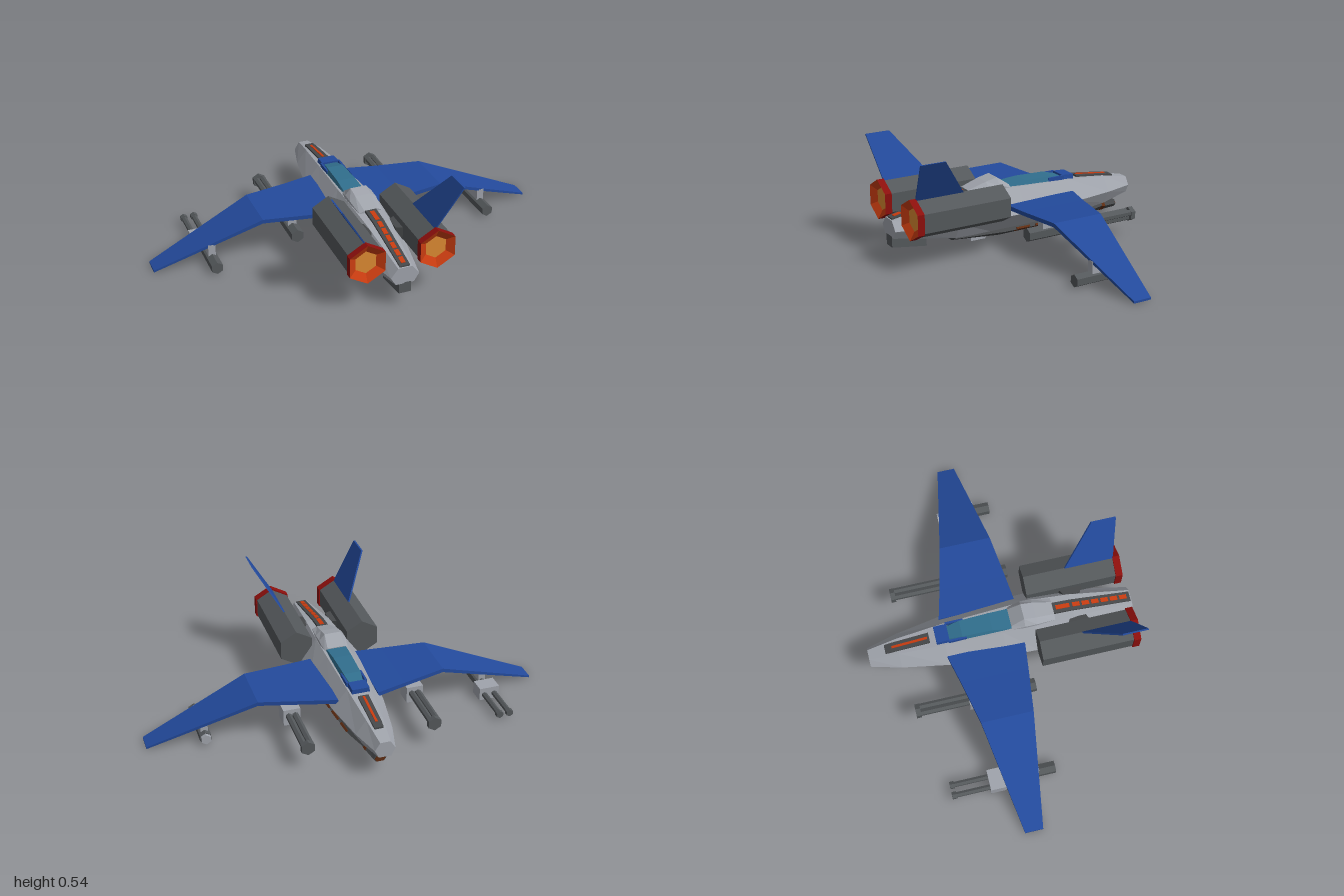
import * as THREE from 'three';

const mat = (name, color) => {
  const m = new THREE.MeshStandardMaterial({ color });
  m.name = name;
  m.flatShading = true;
  return m;
};

// Skin a list of equal-length rings with flat caps; winding is turned outward by signed volume.
function loft(rings) {
  const tris = [];
  const n = rings[0].length;
  for (let i = 0; i < rings.length - 1; i++) {
    for (let j = 0; j < n; j++) {
      const k = (j + 1) % n;
      const [a, b, c, d] = [rings[i][j], rings[i][k], rings[i + 1][k], rings[i + 1][j]];
      tris.push([a, b, c], [a, c, d]);
    }
  }
  const first = rings[0], last = rings[rings.length - 1];
  for (let j = 1; j < n - 1; j++) {
    tris.push([last[0], last[j], last[j + 1]], [first[0], first[j + 1], first[j]]);
  }
  const v = (p) => new THREE.Vector3(...p);
  const volume = tris.reduce((s, [a, b, c]) => s + v(a).dot(v(b).cross(v(c))), 0);
  if (volume < 0) tris.forEach((t) => t.reverse());
  const geo = new THREE.BufferGeometry();
  geo.setAttribute('position', new THREE.Float32BufferAttribute(tris.flat(2), 3));
  geo.computeVertexNormals();
  return geo;
}

// Six-sided body along z; section = [z, topHalf, topY, midHalf, midY, bottomHalf, bottomY]
const hexBody = (sections) => loft(sections.map(([z, ht, yt, hm, ym, hb, yb]) => [
  [hb, yb, z], [hm, ym, z], [ht, yt, z], [-ht, yt, z], [-hm, ym, z], [-hb, yb, z],
]));

// Tapered bar along z; section = [z, bottomHalf, bottomY, topHalf, topY]
const bar = (sections) => loft(sections.map(([z, hb, yb, ht, yt]) => [
  [hb, yb, z], [ht, yt, z], [-ht, yt, z], [-hb, yb, z],
]));

// Hexagonal cylinder along z between z0 and z1
const hexRod = (r, z0, z1, x = 0, y = 0) =>
  new THREE.CylinderGeometry(r, r, z1 - z0, 6).rotateX(Math.PI / 2).translate(x, y, (z0 + z1) / 2);

const box = (x0, x1, y0, y1, z0, z1) =>
  new THREE.BoxGeometry(x1 - x0, y1 - y0, z1 - z0).translate((x0 + x1) / 2, (y0 + y1) / 2, (z0 + z1) / 2);

export function createModel() {
  const hullGray = mat('hull gray', 0xa0a4ac);
  const darkGray = mat('dark gray', 0x54585b);
  const bellyGray = mat('belly gray', 0x46484a);
  const blue = mat('wing blue', 0x234a9c);
  const teal = mat('canopy teal', 0x316f8e);
  const red = mat('nozzle red', 0x8c0f0c);
  const orange = mat('glow orange', 0xc93c10);
  const amber = mat('core amber', 0xdc8a32);
  const brown = mat('port brown', 0x5e2c12);
  orange.side = red.side = THREE.DoubleSide;

  const root = new THREE.Group();
  root.name = 'starfighter';
  const add = (name, geo, material, parent = root) => {
    const m = new THREE.Mesh(geo, material);
    m.name = name;
    parent.add(m);
    return m;
  };

  // Fuselage, nose towards -z
  add('fuselage', hexBody([
    [-0.67, 0.025, 0.205, 0.05, 0.165, 0.03, 0.125],
    [-0.52, 0.04, 0.235, 0.09, 0.165, 0.05, 0.095],
    [-0.29, 0.055, 0.26, 0.13, 0.165, 0.075, 0.08],
    [0, 0.065, 0.275, 0.15, 0.165, 0.08, 0.075],
    [0.16, 0.07, 0.285, 0.155, 0.165, 0.08, 0.075],
    [0.36, 0.06, 0.27, 0.13, 0.165, 0.08, 0.08],
    [0.67, 0.035, 0.21, 0.07, 0.165, 0.045, 0.125],
  ]), hullGray);

  // Belly pod with side ports and nose sensor
  add('belly', hexBody([
    [-0.51, 0.035, 0.1, 0.05, 0.08, 0.025, 0.052],
    [-0.38, 0.06, 0.095, 0.08, 0.072, 0.035, 0.043],
    [-0.1, 0.08, 0.085, 0.105, 0.07, 0.035, 0.034],
    [0.1, 0.08, 0.085, 0.105, 0.07, 0.035, 0.032],
    [0.36, 0.06, 0.085, 0.08, 0.075, 0.035, 0.055],
  ]), bellyGray);
  add('bellySensor', hexBody([
    [-0.605, 0.02, 0.088, 0.032, 0.07, 0.02, 0.053],
    [-0.53, 0.03, 0.094, 0.046, 0.074, 0.025, 0.051],
  ]), bellyGray);
  add('sensorBand', hexBody([
    [-0.53, 0.032, 0.097, 0.049, 0.075, 0.027, 0.05],
    [-0.505, 0.035, 0.1, 0.052, 0.078, 0.028, 0.05],
  ]), brown);
  add('sensorFace', hexBody([
    [-0.609, 0.016, 0.085, 0.027, 0.07, 0.016, 0.056],
    [-0.604, 0.016, 0.085, 0.027, 0.07, 0.016, 0.056],
  ]), brown);
  add('bellyBlock', box(-0.03, 0.03, 0.026, 0.065, 0.17, 0.25), hullGray);
  add('ventralFin', loft([-0.03, 0.03].map((x) => [
    [x, 0.13, 0.67], [x, 0.075, 0.67], [x, 0.05, 0.49], [x, 0.12, 0.49],
  ])), darkGray);

  // Canopy, its blue cowl and the hump behind it
  add('canopy', bar([
    [-0.28, 0.04, 0.255, 0.03, 0.27],
    [-0.2, 0.052, 0.26, 0.042, 0.289],
    [-0.05, 0.056, 0.265, 0.046, 0.292],
    [0.06, 0.058, 0.27, 0.05, 0.283],
  ]), teal);
  add('canopyCowl', bar([
    [-0.33, 0.045, 0.25, 0.043, 0.279],
    [-0.265, 0.048, 0.255, 0.043, 0.283],
  ]), blue);
  for (const s of [-1, 1]) {
    add('cowlRail', box(s * 0.047 - 0.005, s * 0.047 + 0.005, 0.262, 0.283, -0.27, -0.18), blue);
  }
  add('spineHump', hexBody([
    [0.045, 0.045, 0.288, 0.06, 0.275, 0.06, 0.25],
    [0.11, 0.04, 0.333, 0.068, 0.3, 0.068, 0.25],
    [0.17, 0.04, 0.32, 0.068, 0.298, 0.068, 0.25],
    [0.265, 0.032, 0.29, 0.058, 0.278, 0.058, 0.25],
  ]), hullGray);

  // Dorsal vents with glowing slits
  add('frontVent', bar([
    [-0.585, 0.022, 0.2, 0.022, 0.231],
    [-0.55, 0.024, 0.21, 0.024, 0.238],
    [-0.36, 0.026, 0.23, 0.026, 0.262],
  ]), bellyGray);
  add('frontVentGlow', bar([
    [-0.55, 0.006, 0.235, 0.006, 0.241],
    [-0.37, 0.006, 0.258, 0.006, 0.264],
  ]), orange);
  add('rearVent', bar([
    [0.265, 0.028, 0.25, 0.028, 0.29],
    [0.36, 0.028, 0.25, 0.028, 0.28],
    [0.665, 0.025, 0.18, 0.025, 0.218],
  ]), bellyGray);
  for (let i = 0; i < 6; i++) {
    const z = 0.365 + i * 0.049;
    const y = (q) => 0.28 - (q - 0.36) * 0.203;
    add('rearVentGlow', bar([z, z + 0.038].map((q) => [q, 0.011, y(q) - 0.003, 0.011, y(q) + 0.003])), orange);
  }
  add('rearVentGlow', bar([[0.28, 0.011, 0.286, 0.011, 0.291], [0.35, 0.011, 0.279, 0.011, 0.284]]), orange);

  for (const s of [1, -1]) {
    const side = new THREE.Group();
    side.name = s > 0 ? 'leftSide' : 'rightSide';
    root.add(side);
    const put = (name, geo, material) => add(name, geo, material, side);

    // Cranked wing; [x, topY, thickness, leadingZ, trailingZ]
    put('wing', loft([
      [0.1, 0.212, 0.022, -0.292, 0.1],
      [0.25, 0.214, 0.02, -0.255, 0.083],
      [0.47, 0.221, 0.02, -0.206, 0.055],
      [1, 0.014, 0.01, -0.112, -0.022],
    ].map(([x, y, t, a, b]) => [[s * x, y, a], [s * x, y, b], [s * x, y - t, b], [s * x, y - t, a]])), blue);

    // Engine with recessed glowing nozzle
    const ex = s * 0.173, ey = 0.25;
    put('engine', hexRod(0.093, 0.155, 0.612, ex, ey), darkGray);
    put('nozzleRing', new THREE.CylinderGeometry(0.1, 0.1, 0.035, 6, 1, true)
      .rotateX(Math.PI / 2).translate(ex, ey, 0.628), red);
    put('nozzleBack', new THREE.RingGeometry(0.08, 0.1, 6, 1, Math.PI / 6)
      .rotateZ(Math.PI / 3).translate(ex, ey, 0.6105), red);
    put('nozzleGlow', new THREE.CylinderGeometry(0.055, 0.1, 0.025, 6, 1, true)
      .rotateX(-Math.PI / 2).translate(ex, ey, 0.633), orange);
    put('nozzleCore', new THREE.CircleGeometry(0.058, 6).rotateZ(Math.PI / 6).translate(ex, ey, 0.622), amber);
    put('engineStrut', loft([[0.06, 0.34, 0.42], [0.13, 0.3, 0.45]].map(([x, a, b]) => [
      [s * x, 0.265, a], [s * x, 0.265, b], [s * x, 0.2, b], [s * x, 0.2, a],
    ])), bellyGray);

    // Canted tail fin
    put('tailFin', loft([-0.004, 0.004].map((d) => [
      [s * (0.17 + d), 0.335, 0.362], [s * (0.17 + d), 0.335, 0.612],
      [s * (0.295 + d), 0.545, 0.643], [s * (0.295 + d), 0.545, 0.518],
    ])), blue);

    // Belly side ports on the lower chamfer
    for (let i = 0; i < 4; i++) {
      const z = -0.365 + i * 0.108;
      const outer = (q) => 0.08 + 0.025 * Math.min(1, (q + 0.38) / 0.28);
      put('bellyPort', loft([z, z + 0.075].map((q) => {
        const w = outer(q);
        return [[s * (w + 0.004), 0.073, q], [s * (w - 0.026), 0.053, q],
          [s * (w - 0.033), 0.06, q], [s * (w - 0.004), 0.08, q]];
      })), brown);
    }

    // Inner gun: pylon, pod, block, barrel cluster and muzzle
    const gx = s * 0.313, gy = 0.122;
    put('innerPylon', box(gx - 0.022, gx + 0.022, 0.14, 0.2, -0.16, 0.03), hullGray);
    put('innerPod', hexRod(0.034, -0.15, 0.105, gx, gy), darkGray);
    put('innerBlock', box(gx - 0.042, gx + 0.042, 0.08, 0.165, -0.235, -0.15), hullGray);
    for (const [dx, dy] of [[-0.016, 0.01], [0.016, 0.01], [0, -0.016]]) {
      put('innerBarrel', hexRod(0.016, -0.49, -0.23, gx + dx, gy + dy), darkGray);
    }
    put('innerMuzzle', hexRod(0.036, -0.502, -0.478, gx, gy), darkGray);

    // Outer pod under the drooped wing
    const ox = s * 0.72, oy = 0.036;
    put('outerPylon', box(ox - 0.018, ox + 0.018, 0.05, 0.116, -0.13, 0.02), hullGray);
    put('outerPod', hexRod(0.031, -0.155, 0.105, ox, oy), darkGray);
    if (s > 0) {
      put('outerPodCap', hexRod(0.026, -0.172, -0.155, ox, oy), hullGray);
    } else {
      // Twin cannon carried on the right wing only
      put('twinBlock', box(ox - 0.052, ox + 0.052, 0.005, 0.072, -0.228, -0.15), hullGray);
      for (const d of [-0.026, 0.026]) {
        put('twinBarrel', hexRod(0.014, -0.4, -0.22, ox + d, oy), darkGray);
        put('twinMuzzle', hexRod(0.019, -0.418, -0.395, ox + d, oy), darkGray);
      }
    }
  }
  return root;
}
